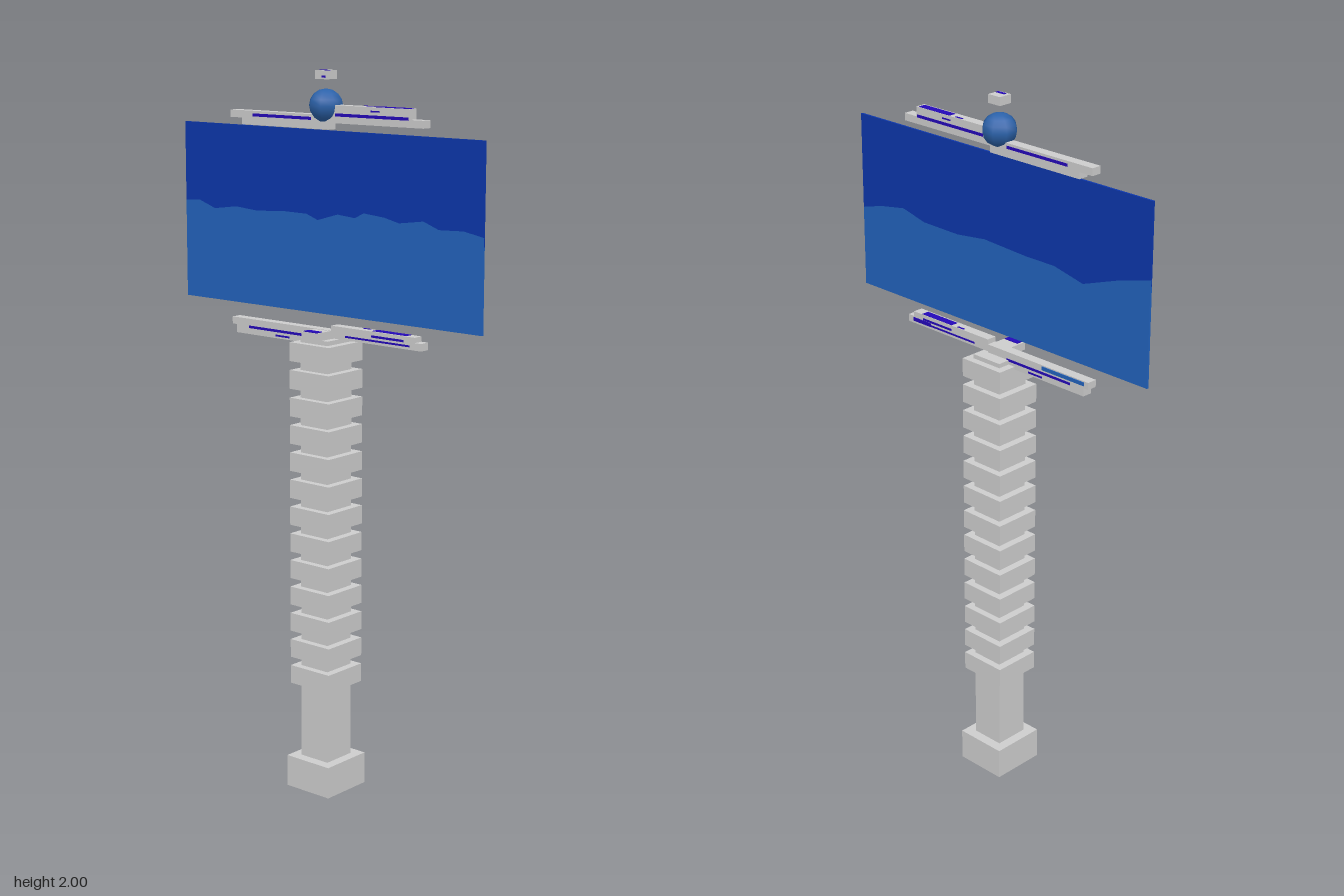
import * as THREE from 'three';

const mat = (name, color) => Object.assign(new THREE.MeshStandardMaterial({ color }), { name });

export function createModel() {
  const stone = mat('pale grey stone', 0xcccccc);
  const deepBlue = mat('deep blue', 0x0c36aa);
  const midBlue = mat('mid blue', 0x2262bc);
  const ballBlue = mat('ball blue', 0x2b62aa);
  const violet = mat('violet blue trim', 0x2408b8);

  const model = new THREE.Group();
  model.name = 'bannerPost';

  // Box given by its minimum and maximum corners
  const box = (name, m, x0, x1, y0, y1, z0, z1, parent = model) => {
    const mesh = new THREE.Mesh(new THREE.BoxGeometry(x1 - x0, y1 - y0, z1 - z0), m);
    mesh.position.set((x0 + x1) / 2, (y0 + y1) / 2, (z0 + z1) / 2);
    mesh.name = name;
    parent.add(mesh);
    return mesh;
  };

  // Post with foot and ribs
  box('foot', stone, -0.076, 0.076, 0, 0.09, -0.079, 0.079);
  box('shaft', stone, -0.048, 0.048, 0.09, 1.287, -0.05, 0.05);
  for (let i = 0; i < 13; i++) {
    const y = 0.331 + i * 0.0765;
    box('rib', stone, -0.07, 0.07, y - 0.026, y + 0.026, -0.07, 0.07);
  }
  box('postBracket', stone, -0.028, 0.028, 1.287, 1.309, 0.015, 0.068);
  box('bracketTrim', violet, -0.022, 0.025, 1.309, 1.311, 0.045, 0.067);

  // Banner: each side has a deep blue upper and mid blue lower field
  const X = 0.522, top = 1.842, bottom = 1.35;
  const banner = new THREE.Group();
  banner.name = 'banner';
  model.add(banner);
  const field = (name, m, edge, yEnd, z) => {
    const pts = edge.map(([x, y]) => new THREE.Vector2(x, y));
    pts.push(new THREE.Vector2(X, yEnd), new THREE.Vector2(-X, yEnd));
    const geo = new THREE.ExtrudeGeometry(new THREE.Shape(pts), { depth: 0.003, bevelEnabled: false });
    const mesh = new THREE.Mesh(geo, m);
    mesh.position.z = z;
    mesh.name = name;
    banner.add(mesh);
  };
  const frontEdge = [[-X, 1.622], [-0.47, 1.626], [-0.41, 1.606], [-0.33, 1.617], [-0.25, 1.611],
    [-0.15, 1.617], [-0.07, 1.616], [-0.03, 1.602], [0.04, 1.622], [0.1, 1.617], [0.13, 1.632],
    [0.2, 1.626], [0.25, 1.615], [0.33, 1.626], [0.38, 1.608], [0.46, 1.611], [X, 1.6]];
  const backEdge = [[-X, 1.64], [-0.42, 1.612], [-0.3, 1.57], [-0.2, 1.592], [-0.1, 1.592],
    [0.05, 1.6], [0.15, 1.588], [0.28, 1.59], [0.36, 1.61], [0.45, 1.595], [X, 1.575]];
  [[frontEdge, -0.003, 'front'], [backEdge, -0.006, 'back']].forEach(([edge, z, side]) => {
    field(side + 'UpperField', deepBlue, edge, top, z);
    field(side + 'LowerField', midBlue, edge, bottom, z);
  });

  // Stepped rails above and below the banner
  const Z = 0.0145;
  const rail = (name, boxes) => {
    const g = new THREE.Group();
    g.name = name;
    model.add(g);
    boxes.forEach(([x0, x1, y0, y1]) => box(name + 'Bar', stone, x0, x1, y0, y1, -Z, Z, g));
    return g;
  };
  const upper = rail('upperRail', [[-0.333, 0.338, 1.863, 1.883], [-0.29, 0.02, 1.845, 1.863], [0.02, 0.293, 1.883, 1.91]]);
  const lower = rail('lowerRail', [[-0.333, 0.338, 1.29, 1.31], [-0.317, 0.03, 1.267, 1.29], [0.03, 0.317, 1.31, 1.324]]);

  // Thin trim stripes painted on both long sides of a rail
  const stripes = (parent, list) => list.forEach(([x0, x1, y0, y1]) => {
    box('frontTrim', violet, x0, x1, y0, y1, Z, Z + 0.001, parent);
    box('backTrim', violet, x0, x1, y0, y1, -Z - 0.001, -Z, parent);
  });
  stripes(upper, [[-0.25, -0.04, 1.868, 1.876], [0.045, 0.29, 1.881, 1.889], [0.165, 0.195, 1.897, 1.901]]);
  stripes(lower, [[-0.27, -0.04, 1.284, 1.291], [-0.17, -0.12, 1.272, 1.277],
    [0.08, 0.3, 1.297, 1.302], [0.17, 0.28, 1.308, 1.314]]);
  [[upper, 1.91], [lower, 1.324]].forEach(([g, y]) => {
    box('topTrim', violet, 0.17, 0.285, y, y + 0.001, -0.013, 0.009, g);
    box('topFleck', violet, 0.125, 0.15, y, y + 0.001, -0.012, -0.006, g);
  });
  box('backBlueStrip', midBlue, -0.318, -0.17, 1.297, 1.307, -0.017, -Z, lower);
  box('backBlueStrip', violet, 0.25, 0.317, 1.297, 1.307, -0.017, -Z, lower);

  // Ball and small cube on top
  const ball = new THREE.Mesh(new THREE.SphereGeometry(0.0475, 8, 8), ballBlue);
  ball.rotation.y = Math.PI / 8;
  ball.scale.y = 0.93;
  ball.position.y = 1.907;
  ball.name = 'ball';
  model.add(ball);
  box('topCube', stone, -0.021, 0.021, 1.976, 1.999, -0.02, 0.02);
  box('cubeTopTrim', violet, -0.01, 0.02, 1.999, 2, 0.005, 0.015);
  box('cubeFrontTrim', violet, 0.002, 0.016, 1.98, 1.986, 0.02, 0.021);

  return model;
}
